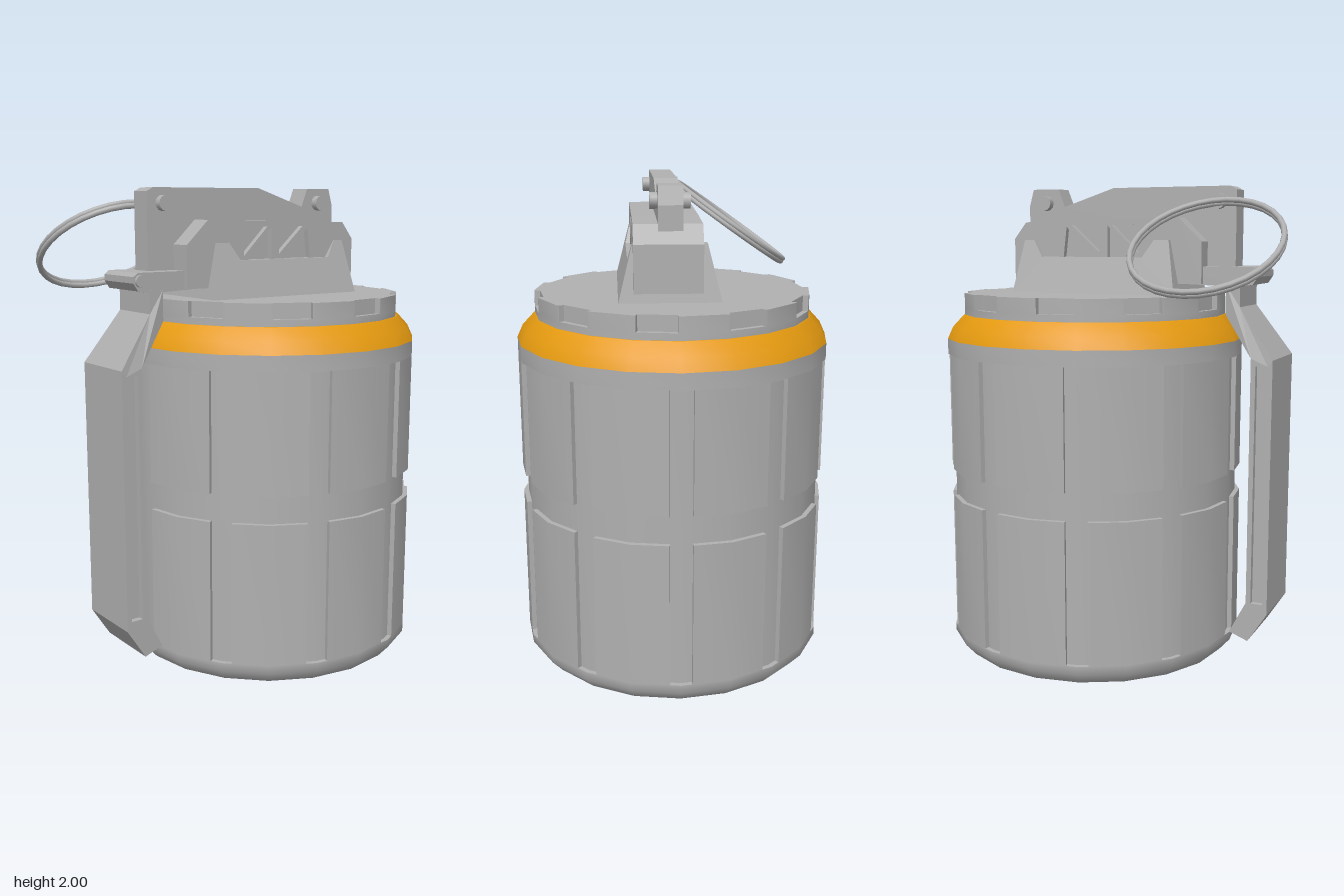
import * as THREE from 'three';
import { toCreasedNormals } from 'three/addons/utils/BufferGeometryUtils.js';

export function createModel() {
  const model = new THREE.Group();
  const metal = new THREE.MeshStandardMaterial({ color: 0xb0b0b0 });
  metal.name = 'grey metal';
  const orange = new THREE.MeshStandardMaterial({ color: 0xe59a10 });
  orange.name = 'orange paint';

  const CX = 0.15; // body axis
  const CZ = 0.024; // mid plane of the lever mechanism

  function add(name, geo, material = metal, x = 0, y = 0, z = 0) {
    const mesh = new THREE.Mesh(geo, material);
    mesh.name = name;
    mesh.position.set(x, y, z);
    model.add(mesh);
    return mesh;
  }
  const pts = (list) => list.map(([x, y]) => new THREE.Vector2(x, y));
  const lathe = (list) => toCreasedNormals(new THREE.LatheGeometry(pts(list), 20), 0.8);

  // Side profile extruded from z0 to z1, with optional holes
  function profile(list, z0, z1, holes = []) {
    const shape = new THREE.Shape(pts(list));
    shape.holes = holes.map((h) => new THREE.Path(pts(h)));
    const geo = new THREE.ExtrudeGeometry(shape, { depth: z1 - z0, bevelEnabled: false });
    return geo.translate(0, 0, z0);
  }
  // Plan outline extruded from y0 up to y1
  function slab(points, y0, y1) {
    const geo = new THREE.ExtrudeGeometry(new THREE.Shape(points), { depth: y1 - y0, bevelEnabled: false });
    return toCreasedNormals(geo.rotateX(Math.PI / 2).translate(0, y1, 0), 0.6);
  }
  // Move z of each vertex by a rule
  function reshapeZ(geo, rule) {
    const p = geo.attributes.position;
    for (let i = 0; i < p.count; i++) p.setZ(i, rule(p.getY(i), p.getZ(i)));
    geo.computeVertexNormals();
    return geo;
  }

  // Twenty-sided outline with ten notches, on corners or on flats
  function notched(r, onCorner, edge, inset) {
    const corner = (k) => new THREE.Vector2(Math.cos(k * Math.PI / 10) * r, Math.sin(k * Math.PI / 10) * r);
    const out = [];
    for (let k = 0; k < 20; k += 2) {
      const a = corner(k), b = corner(k + 1);
      if (onCorner) {
        const p = a.clone().lerp(corner(k - 1), edge), q = a.clone().lerp(b, edge);
        out.push(p, p.clone().multiplyScalar(inset), a.clone().multiplyScalar(inset),
          q.clone().multiplyScalar(inset), q, b);
      } else {
        const p = a.clone().lerp(b, edge), q = b.clone().lerp(a, edge);
        out.push(a, p, p.clone().multiplyScalar(inset), q.clone().multiplyScalar(inset), q, b);
      }
    }
    return out;
  }

  // Body core with recessed base, rounded foot and upper rim
  add('body', lathe([
    [0, 0.05], [0.34, 0.05], [0.345, 0.035], [0.46, 0.035], [0.475, 0], [0.52, 0],
    [0.59, 0.03], [0.635, 0.08], [0.635, 0.115], [0.615, 0.115], [0.615, 1.31],
    [0.635, 1.31], [0.635, 1.375],
  ]), metal, CX);

  // Two rows of raised panels, leaving vertical grooves and a waist groove
  for (const [name, y0, y1] of [['lowerPanels', 0.115, 0.705], ['upperPanels', 0.82, 1.31]])
    add(name, slab(notched(0.635, true, 0.23, 0.955), y0, y1), metal, CX);

  // Painted shoulder
  add('shoulderBand', lathe([[0.635, 1.375], [0.612, 1.425], [0.565, 1.475], [0.5, 1.475]]), orange, CX);

  // Cap with notched rim
  add('capBase', toCreasedNormals(new THREE.CylinderGeometry(0.56, 0.56, 0.03, 20), 0.6), metal, CX, 1.488);
  add('capRim', slab(notched(0.56, false, 0.06, 0.96), 1.5, 1.565), metal, CX);

  // Housing with sloped walls and corner posts
  const housing = profile([
    [-0.28, 1.56], [0.46, 1.56], [0.425, 1.785], [0.38, 1.785], [0.335, 1.715],
    [-0.125, 1.715], [-0.17, 1.785], [-0.235, 1.785],
  ], -1, 1);
  add('housing', reshapeZ(housing, (y, z) => z * (0.2 - (y - 1.56) * 0.25)), metal, 0, 0, CZ);

  // Lever block with triangular windows in both side plates
  const block = [
    [-0.37, 1.61], [0.485, 1.605], [0.485, 1.79], [0.43, 1.86], [0.2, 1.868], [-0.27, 1.875], [-0.37, 1.78],
  ];
  const windows = [
    [[-0.095, 1.83], [-0.075, 1.847], [0.025, 1.847], [-0.095, 1.73]],
    [[0.045, 1.845], [0.045, 1.715], [-0.075, 1.715]],
    [[0.085, 1.847], [0.21, 1.847], [0.085, 1.735]],
    [[0.235, 1.84], [0.25, 1.715], [0.11, 1.715]],
  ];
  add('leverBlockCore', profile(block, -0.075, 0.14));
  for (const [z0, z1] of [[-0.1, -0.075], [0.14, 0.165]])
    add('leverBlockSide', profile(block, z0, z1, windows));

  // Upright plate with pins
  add('uprightPlate', profile([
    [-0.49, 1.66], [-0.37, 1.66], [-0.3, 1.8], [0.45, 1.8], [0.45, 1.93], [0.43, 2],
    [0.31, 2], [0.28, 1.925], [0.05, 2], [-0.46, 2], [-0.49, 1.985],
  ], -0.025, 0.07));
  function pin(name, x, y, r, length, z) {
    const geo = new THREE.CylinderGeometry(r, r, length, 12).rotateX(Math.PI / 2);
    add(name, toCreasedNormals(geo, 0.8), metal, x, y, z);
  }
  pin('rearPin', -0.42, 1.94, 0.031, 0.156, 0.022);
  pin('frontPin', 0.365, 1.94, 0.031, 0.156, 0.022);

  // Arm joining the block to the handle
  add('leverArm', profile([
    [-0.6, 1.64], [-0.58, 1.61], [-0.52, 1.6], [-0.25, 1.61], [-0.25, 1.68], [-0.58, 1.68], [-0.6, 1.665],
  ], -0.08, 0.145));
  pin('hingePin', -0.57, 1.648, 0.024, 0.25, 0.032);

  // Handle with a long slot sunk into each side, narrower at the top
  const handle = [
    [-0.53, 1.61], [-0.53, 1.52], [-0.68, 1.315], [-0.68, 0.26], [-0.6, 0.135],
    [-0.52, 0.165], [-0.59, 0.3], [-0.59, 1.32], [-0.47, 1.49], [-0.47, 1.61],
  ];
  const slot = [[-0.66, 0.3], [-0.61, 0.3], [-0.61, 1.29], [-0.66, 1.29]];
  const taper = (y, z) => (y > 1.4 ? z * 0.77 : z);
  add('handleCore', reshapeZ(profile(handle, -0.125, 0.125), taper), metal, 0, 0, 0.03);
  for (const [z0, z1] of [[-0.15, -0.125], [0.125, 0.15]])
    add('handleSide', reshapeZ(profile(handle, z0, z1, [slot]), taper), metal, 0, 0, 0.03);

  // Split pull ring, two coils lying side by side
  for (const side of [-1, 1]) {
    const coil = new THREE.TorusGeometry(0.299, 0.0115, 8, 32).translate(0, 0, side * 0.008);
    add('pullRing', coil.rotateX(0.956), metal, -0.457, 1.765, -0.297);
  }

  return model;
}
